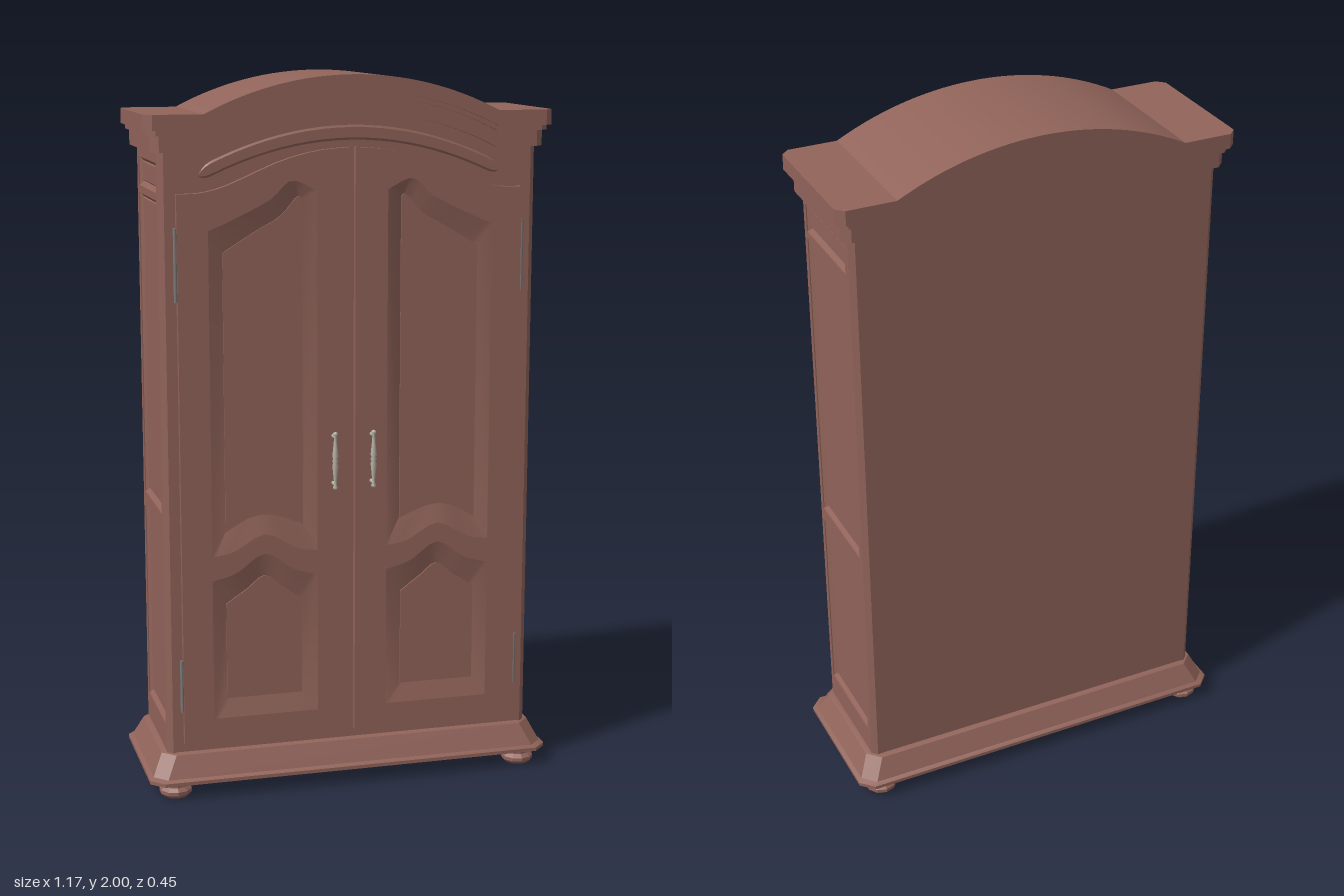
import * as THREE from 'three';
import { toCreasedNormals } from 'three/addons/utils/BufferGeometryUtils.js';

const mat = (name, color) => new THREE.MeshStandardMaterial({ name, color });
const V = (x, y) => new THREE.Vector2(x, y);
const pts = (list) => list.map(([x, y]) => V(x, y));

// Joins counter-clockwise loops [points, z] along z, with optional end caps.
function loft(rings, startCap = true) {
  const pos = [];
  const put = (r, i) => {
    const [loop, z] = rings[r];
    const p = loop[i % loop.length];
    pos.push(p.x, p.y, z);
  };
  const n = rings[0][0].length;
  for (let r = 0; r < rings.length - 1; r++) {
    for (let i = 0; i < n; i++) {
      put(r, i); put(r, i + 1); put(r + 1, i + 1);
      put(r, i); put(r + 1, i + 1); put(r + 1, i);
    }
  }
  const cap = (r, flip) => {
    for (const [a, b, c] of THREE.ShapeUtils.triangulateShape(rings[r][0], [])) {
      put(r, a); put(r, flip ? c : b); put(r, flip ? b : c);
    }
  };
  if (startCap) cap(0, true);
  cap(rings.length - 1, false);
  const g = new THREE.BufferGeometry();
  g.setAttribute('position', new THREE.Float32BufferAttribute(pos, 3));
  g.computeVertexNormals();
  return toCreasedNormals(g, 0.4);
}

// Mirrored copy across x = 0 with corner order corrected.
function mirrorX(geo) {
  const g = geo.index ? geo.toNonIndexed() : geo.clone();
  for (const name of ['position', 'normal']) {
    const a = g.attributes[name];
    for (let t = 0; t < a.count; t += 3) {
      const v = [0, 2, 1].map((k) => [-a.getX(t + k), a.getY(t + k), a.getZ(t + k)]);
      v.forEach((p, k) => a.setXYZ(t + k, ...p));
    }
  }
  return g;
}

// Height of the arched top
const ARCH = 0.41, RADIUS = 0.89;
const archY = (x) => Math.abs(x) >= ARCH ? 1.9 : 2 - RADIUS + Math.sqrt(RADIUS * RADIUS - x * x);

// Front outline: bottom left to right, then top right to left
function archLoop(w, bottom, top) {
  const xs = [-w];
  for (let i = 0; i <= 32; i++) xs.push(-ARCH + (2 * ARCH * i) / 32);
  xs.push(w);
  return [...xs.map((x) => V(x, bottom(x))), ...xs.reverse().map((x) => V(x, top(x)))];
}

function octagon(w, d, c) {
  return pts([[w, -d + c], [w, d - c], [w - c, d], [-w + c, d], [-w, d - c], [-w, -d + c], [-w + c, -d], [w - c, -d]]);
}

const rect = (x0, y0, x1, y1) => pts([[x0, y0], [x1, y0], [x1, y1], [x0, y1]]);

// Loop with a curved bottom edge and a curved top edge
const curvedLoop = (bottom, top) => [
  ...new THREE.SplineCurve(pts(bottom)).getPoints(14),
  ...new THREE.SplineCurve(pts(top)).getPoints(14),
];

function plate(outline, holes, depth) {
  const s = new THREE.Shape(outline);
  s.holes = holes.map((h) => new THREE.Path(h));
  return toCreasedNormals(new THREE.ExtrudeGeometry(s, { depth, bevelEnabled: false }), 0.4);
}

export function createModel() {
  const model = new THREE.Group();
  model.name = 'wardrobe';
  const wood = mat('reddish wood', 0x91645a);
  const silver = mat('handle metal', 0xb4b2a4);
  const steel = mat('hinge metal', 0x7c7a78);
  const add = (name, geo, m = wood) => {
    const mesh = new THREE.Mesh(geo, m);
    mesh.name = name;
    model.add(mesh);
    return mesh;
  };
  const addPair = (name, geo, m) => {
    add(name + 'Left', geo, m);
    add(name + 'Right', mirrorX(geo), m);
  };

  // Carcass
  const core = archLoop(0.515, () => 0.1, (x) => archY(x) - 0.08);
  add('carcass', loft([[core, -0.172], [core, 0.172]]));

  // Bevelled corner posts
  for (const s of [1, -1]) {
    const tri = pts([[0.515, -0.157], [0.515, -0.172], [0.53, -0.157]]);
    const post = loft([[tri, 0.1], [tri, 1.82]]).rotateX(-Math.PI / 2);
    if (s < 0) post.rotateY(Math.PI);
    addPair(s > 0 ? 'frontCornerPost' : 'backCornerPost', post);
  }

  // Side frames with three sunken panels
  const openings = [[0.2, 0.77], [0.81, 1.67], [1.69, 1.77]];
  const holes = openings.map(([a, b]) => rect(-0.14, a, 0.135, b));
  const toSide = (g) => g.rotateY(Math.PI / 2);
  addPair('sideFrame', toSide(plate(rect(-0.157, 0.1, 0.157, 1.82), holes, 0.015).translate(0, 0, 0.515)));
  openings.forEach(([a, b]) => {
    const inset = (k) => rect(-0.14 + k, a + k, 0.135 - k, b - k);
    addPair('sidePanel', toSide(loft([[inset(0), 0.527], [inset(0.012), 0.517], [inset(0.015), 0.52]], false)));
  });

  // Flared plinth
  const plinth = [[0.575, 0.04], [0.585, 0.044], [0.585, 0.054], [0.574, 0.06], [0.545, 0.12], [0.535, 0.124]];
  add('plinth', loft(plinth.map(([w, y]) => [octagon(w, w - 0.358, 0.036), y])).rotateX(-Math.PI / 2));

  // Bun feet
  const footProfile = pts([[0, 0], [0.036, 0], [0.046, 0.01], [0.046, 0.02], [0.035, 0.03], [0.035, 0.042]]);
  for (const x of [-0.51, 0.51]) {
    for (const z of [-0.17, 0.17]) {
      add('foot', toCreasedNormals(new THREE.LatheGeometry(footProfile, 10), 0.4)).position.set(x, 0, z);
    }
  }

  // Stepped arched cornice: half width, half depth, top drop, bottom drop
  const layers = [[0.57, 0.205, 0, 0.042], [0.56, 0.195, 0.042, 0.056], [0.55, 0.186, 0.056, 0.1]];
  layers.forEach(([w, d, t, b]) => {
    const ring = (k) => archLoop(w - k, (x) => archY(x) - b, (x) => archY(x) - t);
    const c = 0.022;
    add('cornice', loft([[ring(c), -d], [ring(0), c - d], [ring(0), d - c], [ring(c), d]]));
  });

  // Arched frieze moulding above the doors, with rounded ends
  const friezeY = (x) => 1.845 - 0.6 * x * x;
  const friezeLoop = (h) => {
    const lower = [], upper = [];
    for (let i = 0; i <= 32; i++) {
      const a = Math.PI * (i / 32 - 0.5);
      const x = 0.42 * Math.sin(a);
      const half = h * Math.min(1, Math.sqrt(Math.max(0, 1 - (x / 0.42) ** 2)) * 3);
      lower.push(V(x, friezeY(x) - half));
      if (i > 0 && i < 32) upper.unshift(V(x, friezeY(x) + half));
    }
    return [...lower, ...upper];
  };
  add('frieze', loft([[friezeLoop(0.02), 0.17], [friezeLoop(0.02), 0.174], [friezeLoop(0.014), 0.177]]));

  // Door panels: outer edge of the sloped moulding and the field inside it
  const panels = [
    [
      curvedLoop([[0.1, 0.69], [0.16, 0.7], [0.25, 0.745], [0.34, 0.7], [0.4, 0.69]],
        [[0.4, 1.59], [0.33, 1.62], [0.23, 1.67], [0.17, 1.72], [0.1, 1.69]]),
      curvedLoop([[0.14, 0.765], [0.2, 0.79], [0.25, 0.8], [0.3, 0.79], [0.36, 0.755]],
        [[0.36, 1.53], [0.27, 1.585], [0.2, 1.625], [0.155, 1.675], [0.14, 1.67]]),
    ],
    [
      curvedLoop([[0.1, 0.22], [0.4, 0.22]], [[0.4, 0.62], [0.33, 0.64], [0.25, 0.69], [0.17, 0.64], [0.1, 0.62]]),
      curvedLoop([[0.145, 0.275], [0.36, 0.275]], [[0.36, 0.55], [0.3, 0.59], [0.25, 0.625], [0.2, 0.59], [0.145, 0.55]]),
    ],
  ];
  const doorOutline = curvedLoop([[0.008, 0.15], [0.485, 0.15]],
    [[0.485, 1.69], [0.42, 1.692], [0.36, 1.706], [0.3, 1.73], [0.2, 1.772], [0.1, 1.798], [0.008, 1.806]]);
  addPair('door', plate(doorOutline, panels.map((p) => p[0]), 0.02).translate(0, 0, 0.17));
  panels.forEach(([outer, inner]) => {
    addPair('doorPanel', loft([[outer, 0.19], [inner, 0.177], [inner, 0.182]], false));
  });

  // Turned pull handles with two mounts, and hinges
  const pull = pts([[0, -0.083], [0.006, -0.08], [0.007, -0.075], [0.004, -0.068], [0.005, -0.05], [0.009, -0.012],
    [0.006, -0.006], [0.009, 0], [0.006, 0.006], [0.009, 0.012], [0.005, 0.05], [0.004, 0.068], [0.007, 0.075], [0.006, 0.08], [0, 0.083]]);
  for (const x of [-0.055, 0.055]) {
    add('handle', new THREE.LatheGeometry(pull, 12), silver).position.set(x, 0.947, 0.213);
    for (const y of [0.88, 1.014]) {
      add('handleMount', new THREE.CylinderGeometry(0.004, 0.006, 0.026, 10).rotateX(Math.PI / 2), silver)
        .position.set(x, y, 0.201);
    }
    for (const y of [0.32, 1.5]) {
      add('hinge', new THREE.CylinderGeometry(0.005, 0.005, y > 1 ? 0.2 : 0.15, 10), steel)
        .position.set(Math.sign(x) * 0.489, y, 0.182);
    }
  }
  return model;
}
